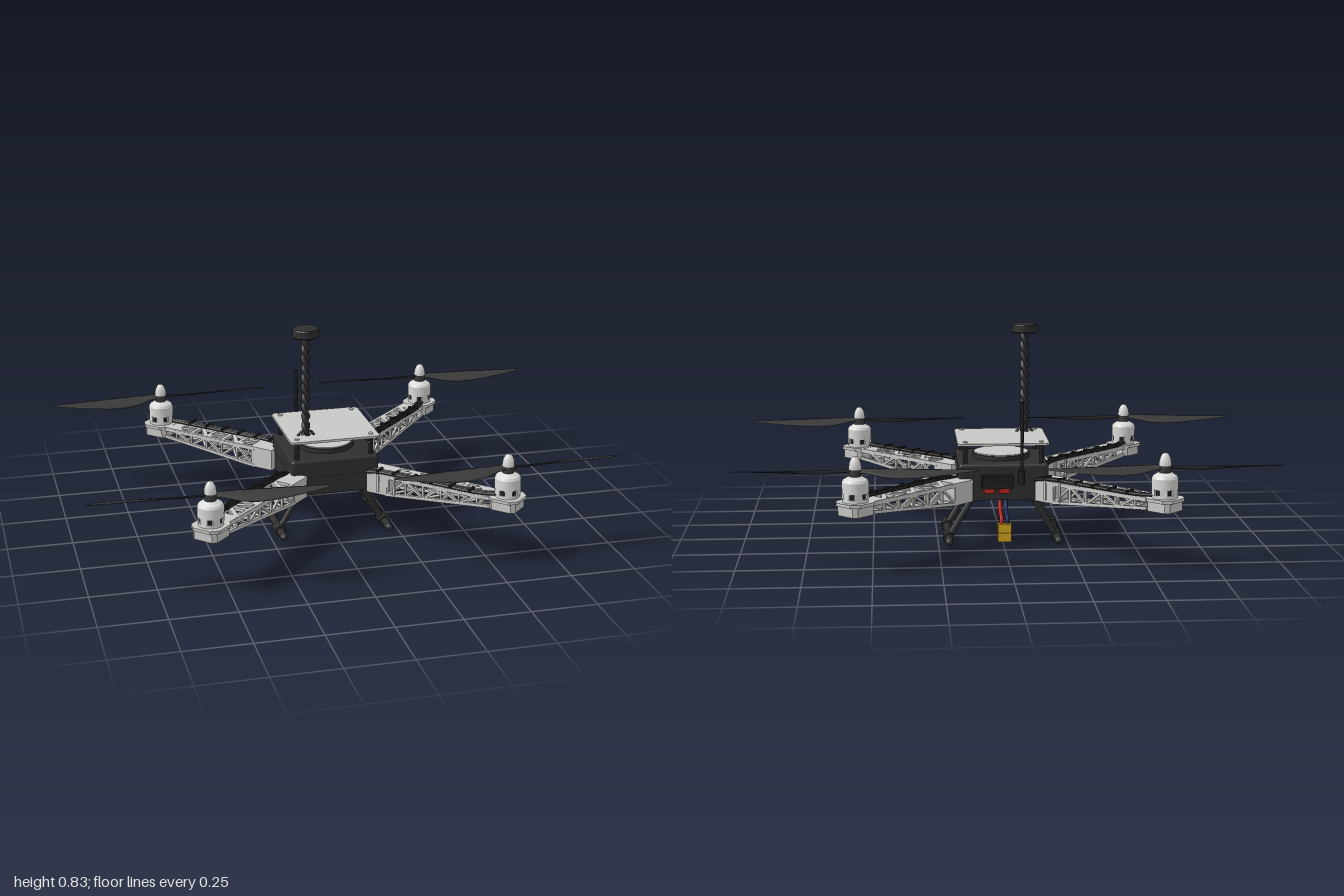
import * as THREE from 'three';
import { toCreasedNormals } from 'three/addons/utils/BufferGeometryUtils.js';
import { RoundedBoxGeometry } from 'three/addons/geometries/RoundedBoxGeometry.js';

const V = (x, y, z) => new THREE.Vector3(x, y, z);

export function createModel() {
  const mat = (name, color) => Object.assign(new THREE.MeshStandardMaterial({ color }), { name });
  const lightGrey = mat('light grey', 0xc8c8c6), silver = mat('silver', 0xdadad8);
  const black = mat('black', 0x1e1e1e), charcoal = mat('charcoal', 0x2f2f30);
  const bladeGrey = mat('blade grey', 0x39393a), red = mat('red', 0xc0241c);
  const yellow = mat('yellow', 0xd0a31c), blue = mat('dark blue', 0x23305c);

  const model = new THREE.Group();
  model.name = 'quadcopter';

  // Helpers
  const group = (name, parent = model) => {
    const g = new THREE.Group();
    g.name = name;
    parent.add(g);
    return g;
  };
  const add = (parent, name, geo, material, x = 0, y = 0, z = 0) => {
    const m = new THREE.Mesh(geo, material);
    m.name = name;
    m.position.set(x, y, z);
    parent.add(m);
    return m;
  };
  const box = (p, name, m, w, h, d, x, y, z) => add(p, name, new THREE.BoxGeometry(w, h, d), m, x, y, z);
  const cyl = (p, name, m, r, h, x, y, z, n = 20) => add(p, name, new THREE.CylinderGeometry(r, r, h, n), m, x, y, z);
  const between = (p, name, m, a, b, r, round = false) => {
    const d = b.clone().sub(a), len = d.length();
    const geo = round ? new THREE.CylinderGeometry(r, r, len, 14) : new THREE.BoxGeometry(r, len, r);
    const bar = add(p, name, geo, m);
    bar.position.copy(a).add(b).multiplyScalar(0.5);
    bar.quaternion.setFromUnitVectors(V(0, 1, 0), d.normalize());
    return bar;
  };
  const tube = (p, name, m, pts, r, n = 20) =>
    add(p, name, new THREE.TubeGeometry(new THREE.CatmullRomCurve3(pts), n, r, 8), m);
  const lathe = (p, name, m, pts, x, y, z) => add(p, name,
    toCreasedNormals(new THREE.LatheGeometry(pts.map(q => new THREE.Vector2(...q)), 24), 0.5), m, x, y, z);
  // Horizontal plate whose outline is given as [x, z], with its top at y
  const plate = (p, name, m, pts, holes, y, thick) => {
    const toV2 = a => a.map(q => new THREE.Vector2(...q));
    const s = new THREE.Shape(toV2(pts));
    holes.forEach(h => s.holes.push(new THREE.Path(toV2(h))));
    return add(p, name, new THREE.ExtrudeGeometry(s, { depth: thick, bevelEnabled: false }).rotateX(Math.PI / 2), m, 0, y, 0);
  };
  const octagon = (h, c, cx = 0) => [[h - c, -h], [h, c - h], [h, h - c], [h - c, h], [c - h, h], [-h, h - c], [-h, c - h], [c - h, -h]]
    .map(([x, z]) => [x + cx, z]);

  // Central body
  const body = group('body');
  plate(body, 'lowerHull', charcoal, octagon(0.17, 0.02), [], 0.29, 0.11);
  add(body, 'upperHull', new RoundedBoxGeometry(0.345, 0.075, 0.345, 3, 0.012), charcoal, 0, 0.283, 0);
  cyl(body, 'roundHatch', charcoal, 0.113, 0.02, 0, 0.328, 0, 40);
  cyl(body, 'hatchCap', lightGrey, 0.106, 0.004, 0, 0.34, 0, 40);
  plate(body, 'topPlate', lightGrey, octagon(0.176, 0.012), [], 0.4, 0.009);
  for (const x of [-0.146, 0.146]) for (const z of [-0.146, 0.146]) {
    cyl(body, 'standoff', black, 0.009, 0.08, x, 0.352, z, 10);
    cyl(body, 'plateScrew', silver, 0.009, 0.006, x, 0.402, z, 10);
  }

  // Arms: truss built along local +x, then turned to the four diagonals
  const half = r => 0.052 - (r - 0.216) * 0.014;
  const low = r => 0.184 + Math.max(0, r - 0.3) * 0.092;
  const nodes = [0.31, 0.385, 0.46, 0.535, 0.61, 0.685];
  const deckHoles = [];
  for (let i = 0; i < 5; i++) {
    const a = nodes[i] + 0.008, b = nodes[i + 1] - 0.008, s = i % 2 ? 1 : -1, w = half(b) - 0.012;
    deckHoles.push([[a, -s * (w - 0.014)], [a, s * w], [b - 0.012, s * w]]);
    deckHoles.push([[a + 0.012, -s * w], [b, -s * w], [b, s * (w - 0.014)]]);
  }
  for (let k = 0; k < 4; k++) {
    const arm = group('arm');
    arm.rotation.y = -Math.PI / 4 - k * Math.PI / 2;
    plate(arm, 'armDeck', lightGrey, [[0.216, -half(0.216)], [0.74, -half(0.74)], [0.74, half(0.74)], [0.216, half(0.216)]], deckHoles, 0.265, 0.012);
    box(arm, 'armRoot', lightGrey, 0.09, 0.078, 0.1, 0.262, 0.219, 0);
    for (const s of [-1, 1]) {
      const top = r => V(r, 0.255, s * (half(r) - 0.006)), bot = r => V(r, low(r), s * (half(r) - 0.006));
      between(arm, 'lowerChord', lightGrey, bot(0.3), bot(0.74), 0.012);
      between(arm, 'upperChord', lightGrey, top(0.3), top(0.74), 0.013);
      nodes.forEach((r, i) => {
        between(arm, 'trussPost', lightGrey, bot(r), top(r), 0.008);
        if (i < 5) {
          const n = nodes[i + 1];
          between(arm, 'trussBrace', lightGrey, i % 2 ? top(r) : bot(r), i % 2 ? bot(n) : top(n), 0.009);
        }
      });
    }
    nodes.forEach((r, i) => {
      const s = i % 2 ? 1 : -1, w = half(r) - 0.006;
      between(arm, 'crossBar', lightGrey, V(r, low(r), -w), V(r, low(r), w), 0.009);
      if (i < 5) between(arm, 'floorBrace', lightGrey, V(r, low(r), -s * w), V(nodes[i + 1], low(nodes[i + 1]), s * w), 0.009);
    });

    // Motor mount
    const c = 0.79;
    plate(arm, 'mountPlate', lightGrey, octagon(0.062, 0.026, c), [], 0.266, 0.012);
    plate(arm, 'mountBlock', lightGrey, octagon(0.052, 0.014, c), [octagon(0.04, 0.012, c)], 0.256, 0.038);
    cyl(arm, 'mountHub', lightGrey, 0.03, 0.03, c, 0.242, 0);

    // Motor cables with ties
    for (const [i, z] of [0.03, 0.041, 0.052].entries()) {
      tube(arm, 'motorCable', black, [V(0.22, 0.262, z), V(0.28, 0.271, z), V(0.5, 0.271, z - 0.003), V(0.7, 0.271, z - 0.007), V(0.76, 0.274, 0.012 + i * 0.009)], 0.006);
    }
    for (const r of [0.27, 0.34, 0.42, 0.5, 0.58, 0.66]) {
      box(arm, 'cableTie', black, 0.01, 0.009, 0.042, r, 0.277, 0.039);
    }
    for (const r of [0.27, 0.34]) box(arm, 'tieStrap', lightGrey, 0.008, 0.09, 0.006, r, 0.235, half(r) + 0.002);

    // Motor
    const motor = group('motor', arm);
    motor.position.set(c, 0, 0);
    cyl(motor, 'motorBase', silver, 0.047, 0.013, 0, 0.272, 0, 24);
    cyl(motor, 'stator', black, 0.043, 0.03, 0, 0.288, 0, 24);
    for (let i = 0; i < 6; i++) {
      const a = i * Math.PI / 3;
      const rib = box(motor, 'motorRib', silver, 0.006, 0.024, 0.03, Math.cos(a) * 0.044, 0.289, Math.sin(a) * 0.044);
      rib.rotation.y = -a;
    }
    lathe(motor, 'motorBell', silver, [[0, 0.298], [0.049, 0.298], [0.049, 0.338], [0.044, 0.347], [0.026, 0.358], [0, 0.358]], 0, 0, 0);
  }

  // Propeller blades: lens sections as [distance, front edge, rear edge, pitch]
  const sections = [[0, -0.012, 0.012, 0.35], [0.04, -0.013, 0.018, 0.45], [0.1, -0.012, 0.042, 0.45], [0.16, -0.011, 0.056, 0.38],
    [0.22, -0.009, 0.06, 0.31], [0.3, -0.005, 0.052, 0.24], [0.37, 0, 0.039, 0.18], [0.42, 0.004, 0.026, 0.13], [0.44, 0.01, 0.015, 0.1]];
  const bladeGeometry = s => {
    const pos = [], idx = [], n = 8;
    sections.forEach(([u, z0, z1, pitch], i) => {
      for (let j = 0; j < n; j++) {
        const a = j / n * Math.PI * 2, z = (z0 + z1) / 2 - Math.cos(a) * (z1 - z0) / 2;
        pos.push(u, -z * pitch + Math.sin(a) * 0.005 * (1 - u * 1.5), s * z);
        if (i === sections.length - 1) continue;
        const p = i * n + j, q = i * n + (j + 1) % n;
        idx.push(...(s > 0 ? [p, q, q + n, p, q + n, p + n] : [p, q + n, q, p, p + n, q + n]));
      }
    });
    const g = new THREE.BufferGeometry();
    g.setAttribute('position', new THREE.Float32BufferAttribute(pos, 3));
    g.setIndex(idx);
    g.computeVertexNormals();
    return g;
  };
  for (const x of [-1, 1]) for (const z of [-1, 1]) {
    const prop = group('propeller');
    prop.position.set(x * 0.5586, 0.378, z * 0.5586);
    const geo = bladeGeometry(-x * z);
    add(prop, 'blade', geo, bladeGrey);
    add(prop, 'blade', geo, bladeGrey).rotation.y = Math.PI;
    cyl(prop, 'propHub', bladeGrey, 0.022, 0.026, 0, -0.006, 0);
    lathe(prop, 'spinner', silver, [[0, 0.006], [0.023, 0.006], [0.023, 0.014], [0.02, 0.032], [0.013, 0.046], [0.006, 0.052], [0, 0.053]], 0, 0, 0);
  }

  // Landing gear
  for (const s of [-1, 1]) {
    const gear = group('landingGear');
    const skid = add(gear, 'skid', new THREE.CapsuleGeometry(0.0145, 0.39, 5, 14), charcoal, s * 0.21, 0.024, 0);
    skid.rotation.x = Math.PI / 2;
    for (const z of [-0.105, 0.105]) {
      between(gear, 'leg', charcoal, V(s * 0.118, 0.175, z), V(s * 0.208, 0.026, z), 0.0125, true);
      between(gear, 'skidSleeve', charcoal, V(s * 0.21, 0.024, z - 0.029), V(s * 0.21, 0.024, z + 0.029), 0.0215, true);
      box(gear, 'legClamp', charcoal, 0.05, 0.018, 0.058, s * 0.122, 0.174, z);
    }
  }

  // Satellite receiver on a twisted mast
  const mast = group('mast');
  mast.position.set(-0.1, 0, 0.1);
  for (const phase of [0, Math.PI]) {
    const pts = [];
    for (let i = 0; i <= 60; i++) {
      const a = i / 60 * Math.PI * 10.4 + phase;
      pts.push(V(Math.cos(a) * 0.008, 0.398 + i / 60 * 0.4, Math.sin(a) * 0.008));
    }
    tube(mast, 'twistedRod', charcoal, pts, 0.0095, 120);
  }
  for (const s of [-1, 1]) tube(mast, 'mastFoot', charcoal, [V(0, 0.42, 0), V(s * 0.02, 0.414, 0), V(s * 0.032, 0.398, 0)], 0.005, 8);
  lathe(mast, 'receiver', charcoal, [[0, 0.794], [0.049, 0.794], [0.052, 0.798], [0.052, 0.823], [0.048, 0.828], [0, 0.828]], 0, 0, 0);

  // Rear antenna and connector block
  const rear = group('rearFittings');
  between(rear, 'antenna', black, V(-0.068, 0.27, -0.19), V(-0.068, 0.565, -0.2), 0.0065, true);
  cyl(rear, 'antennaBase', black, 0.013, 0.05, -0.068, 0.27, -0.188, 12);
  box(rear, 'connectorBlock', black, 0.12, 0.05, 0.04, 0.025, 0.255, -0.19);
  for (let i = 0; i < 5; i++) box(rear, 'connectorPin', charcoal, 0.012, 0.012, 0.02, -0.021 + i * 0.023, 0.272, -0.218);
  for (const x of [0, 0.058]) box(rear, 'redPlug', red, 0.04, 0.016, 0.045, x, 0.223, -0.19);

  // Battery lead and plug
  const lead = group('batteryLead');
  for (const [x, m] of [[0.011, red], [-0.011, blue]]) {
    tube(lead, 'leadWire', m, [V(x, 0.185, -0.095), V(x, 0.148, -0.11), V(x, 0.127, -0.145), V(x, 0.122, -0.185), V(x, 0.117, -0.21), V(x, 0.095, -0.215)], 0.0075, 32);
  }
  box(lead, 'plugUpper', yellow, 0.052, 0.033, 0.028, 0, 0.082, -0.215);
  box(lead, 'plugNeck', yellow, 0.042, 0.01, 0.02, 0, 0.064, -0.215);
  box(lead, 'plugLower', yellow, 0.052, 0.034, 0.028, 0, 0.046, -0.215);

  return model;
}
